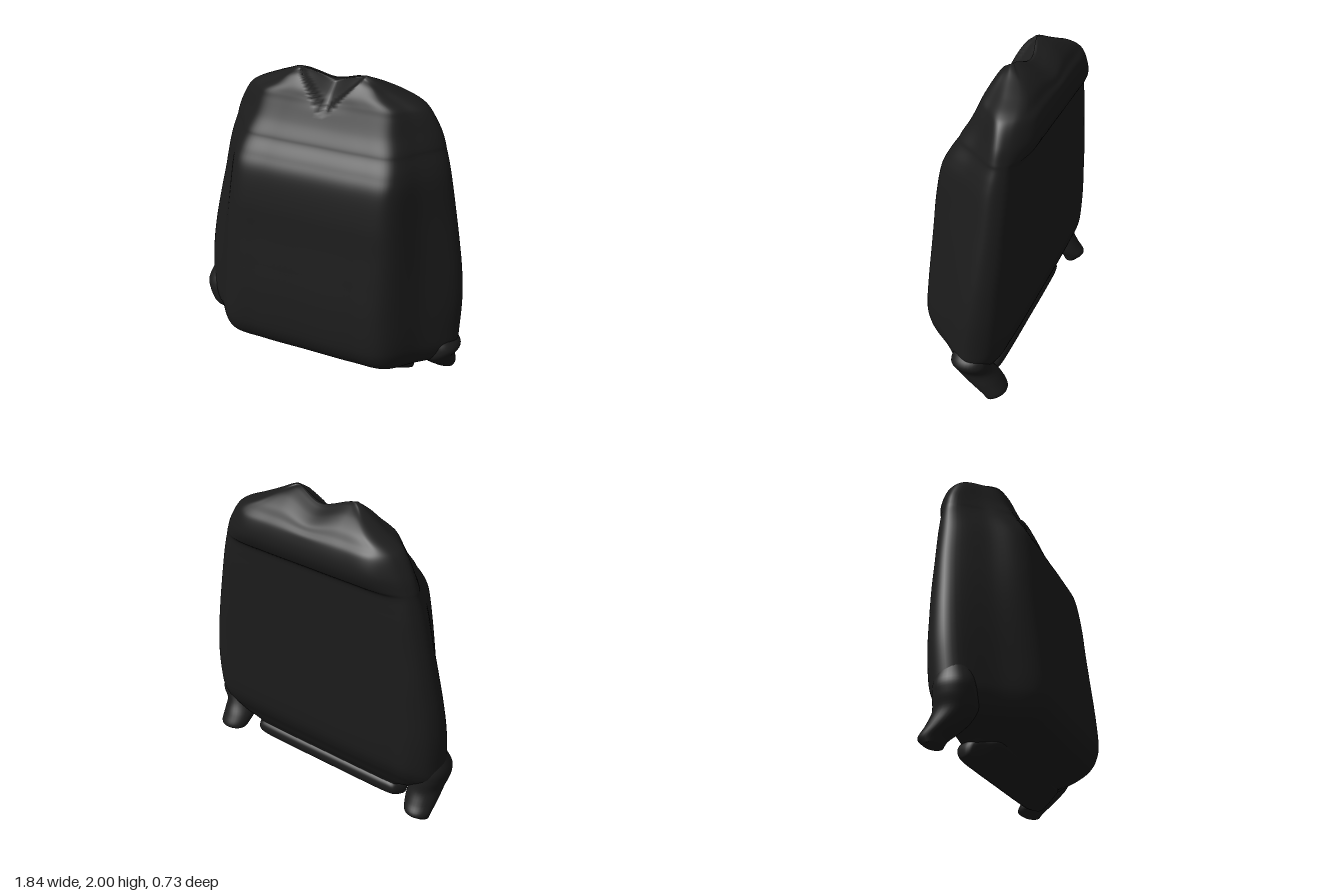
import * as THREE from 'three';

const V = (x, y, z) => new THREE.Vector3(x, y, z);
const smooth = THREE.MathUtils.smoothstep, lerp = THREE.MathUtils.lerp;

// Smooth closed skin through a stack of rings, each running front -> +x -> back
function loft(rings, nU, steps, deform) {
  const nV = (rings.length - 1) * steps, pos = [], idx = [];
  const rails = rings[0].map((_, k) =>
    new THREE.CatmullRomCurve3(rings.map(r => r[k]), false, 'catmullrom', 0.5));
  for (let i = 0; i <= nV; i++) {
    const ring = new THREE.CatmullRomCurve3(rails.map(c => c.getPoint(i / nV)), true);
    for (let j = 0; j < nU; j++) {
      const p = ring.getPoint(j / nU);
      if (deform) deform(p);
      pos.push(p.x, p.y, p.z);
    }
  }
  for (let i = 0; i < nV; i++) for (let j = 0; j < nU; j++) {
    const a = i * nU + j, b = i * nU + (j + 1) % nU;
    idx.push(a, b, b + nU, a, b + nU, a + nU);
  }
  // Close each end with strips from the front edge to the back edge
  for (const [base, top] of [[0, false], [nV * nU, true]]) {
    for (let j = -nU / 4; j < nU / 4; j++) {
      const at = k => base + (k + nU) % nU;
      const a = at(j), b = at(j + 1), c = at(nU / 2 - j - 1), d = at(nU / 2 - j);
      if (top) idx.push(a, b, c, a, c, d);
      else idx.push(a, c, b, a, d, c);
    }
  }
  const g = new THREE.BufferGeometry();
  g.setAttribute('position', new THREE.Float32BufferAttribute(pos, 3));
  g.setIndex(idx);
  g.computeVertexNormals();
  return g;
}

// Garment section: flat front, sloped sides, flat back
function section([y, w, xf, f, zs, xb, b]) {
  const bs = Math.max(b, -0.29);
  const half = [
    [0, f], [xf * 0.6, f], [xf, f - 0.02],
    [lerp(xf, w, 0.5), lerp(zs, f, 0.5)], [w, zs],
    [w * 0.96, lerp(zs, bs, 0.6)], [lerp(xb, w, 0.5), lerp(bs, b, 0.5) + 0.015],
    [xb, b + 0.005], [xb * 0.6, b], [0, b],
  ];
  const mirrored = half.slice(1, -1).reverse().map(([x, z]) => [-x, z]);
  return [...half, ...mirrored].map(([x, z]) => V(x, y, z));
}

// Elliptical section for the cuffs
function oval([y, cx, cz, rx, rz]) {
  return Array.from({ length: 12 }, (_, k) => {
    const a = k / 12 * Math.PI * 2;
    return V(cx + rx * Math.sin(a), y, cz + rz * Math.cos(a));
  });
}

// Neckline: dipped collar and a recessed V panel at the front
function neckline(p) {
  const ax = Math.abs(p.x), front = p.z > -0.103;
  if (p.y < 1.7) return;
  const dip = smooth(0.22 - ax, 0, 0.22) * smooth(p.y, 1.77, 2);
  p.y -= 0.055 * dip;
  if (!front) { p.z -= 0.035 * dip; return; }
  const inside = p.y - 1.77 - ax / 0.956;
  if (inside > 0) {
    const sunk = p.z - 0.02 * smooth(inside, 0, 0.015) - inside * 0.5;
    p.z = Math.max(sunk, Math.min(p.z, -0.105 - 0.035 * dip));
  }
}

export function createModel() {
  const model = new THREE.Group();
  model.name = 'sweater';
  const cloth = new THREE.MeshStandardMaterial({ color: 0x1c1c1c });
  cloth.name = 'charcoal cloth';
  const add = (name, geometry) => {
    const m = new THREE.Mesh(geometry, cloth);
    m.name = name;
    model.add(m);
  };

  // Body with sleeves: y, half width, front flat, front z, side z, back flat, back z
  const body = [
    [0.08, 0.60, 0.45, 0.08, -0.04, 0.50, -0.14],
    [0.12, 0.65, 0.48, 0.15, -0.04, 0.55, -0.155],
    [0.16, 0.76, 0.52, 0.23, -0.04, 0.55, -0.18],
    [0.22, 0.85, 0.54, 0.31, -0.05, 0.57, -0.21],
    [0.30, 0.89, 0.54, 0.355, -0.06, 0.58, -0.25],
    [0.40, 0.895, 0.54, 0.365, -0.07, 0.60, -0.275],
    [0.60, 0.895, 0.53, 0.35, -0.09, 0.62, -0.285],
    [0.80, 0.875, 0.53, 0.325, -0.11, 0.62, -0.287],
    [1.00, 0.84, 0.53, 0.30, -0.13, 0.62, -0.29],
    [1.20, 0.80, 0.52, 0.28, -0.15, 0.60, -0.29],
    [1.40, 0.76, 0.51, 0.245, -0.16, 0.58, -0.295],
    [1.50, 0.735, 0.50, 0.20, -0.17, 0.56, -0.295],
    [1.58, 0.71, 0.48, 0.15, -0.18, 0.53, -0.30],
    [1.62, 0.70, 0.47, 0.13, -0.18, 0.50, -0.335],
    [1.70, 0.67, 0.44, 0.085, -0.18, 0.47, -0.36],
    [1.80, 0.61, 0.42, 0.04, -0.17, 0.45, -0.34],
    [1.85, 0.55, 0.40, 0.02, -0.16, 0.42, -0.305],
    [1.90, 0.44, 0.32, 0.0, -0.15, 0.34, -0.27],
    [1.95, 0.33, 0.27, -0.03, -0.13, 0.27, -0.21],
    [1.985, 0.26, 0.20, -0.055, -0.11, 0.20, -0.15],
    [2.00, 0.22, 0.16, -0.075, -0.10, 0.16, -0.12],
  ];
  add('body', loft(body.map(section), 144, 7, neckline));

  // Waistband rolled under the body
  const hem = [
    [0.0, 0.585, 0.50, -0.03, -0.08, 0.50, -0.13],
    [0.015, 0.61, 0.52, 0.005, -0.07, 0.52, -0.155],
    [0.06, 0.615, 0.52, 0.06, -0.06, 0.52, -0.17],
    [0.10, 0.60, 0.50, 0.10, -0.05, 0.50, -0.155],
    [0.13, 0.55, 0.46, 0.07, -0.05, 0.46, -0.10],
  ];
  add('hem', loft(hem.map(section), 72, 5));

  // Cuffs hanging backwards: y, centre x, centre z, radius x, radius z
  const leftCuff = [
    [0.02, 0.77, -0.20, 0.08, 0.05], [0.05, 0.76, -0.20, 0.10, 0.085],
    [0.12, 0.76, -0.14, 0.11, 0.11], [0.20, 0.78, -0.08, 0.10, 0.125],
    [0.28, 0.82, -0.07, 0.10, 0.12], [0.36, 0.78, -0.08, 0.08, 0.10],
    [0.42, 0.74, -0.08, 0.05, 0.07],
  ];
  const rightCuff = [
    [0.02, -0.79, -0.20, 0.08, 0.05], [0.06, -0.79, -0.20, 0.09, 0.085],
    [0.12, -0.78, -0.14, 0.105, 0.11], [0.20, -0.78, -0.08, 0.11, 0.13],
    [0.28, -0.805, -0.07, 0.11, 0.13], [0.36, -0.825, -0.07, 0.095, 0.12],
    [0.48, -0.79, -0.08, 0.08, 0.08],
  ];
  add('leftCuff', loft(leftCuff.map(oval), 32, 5));
  add('rightCuff', loft(rightCuff.map(oval), 32, 5));
  return model;
}
